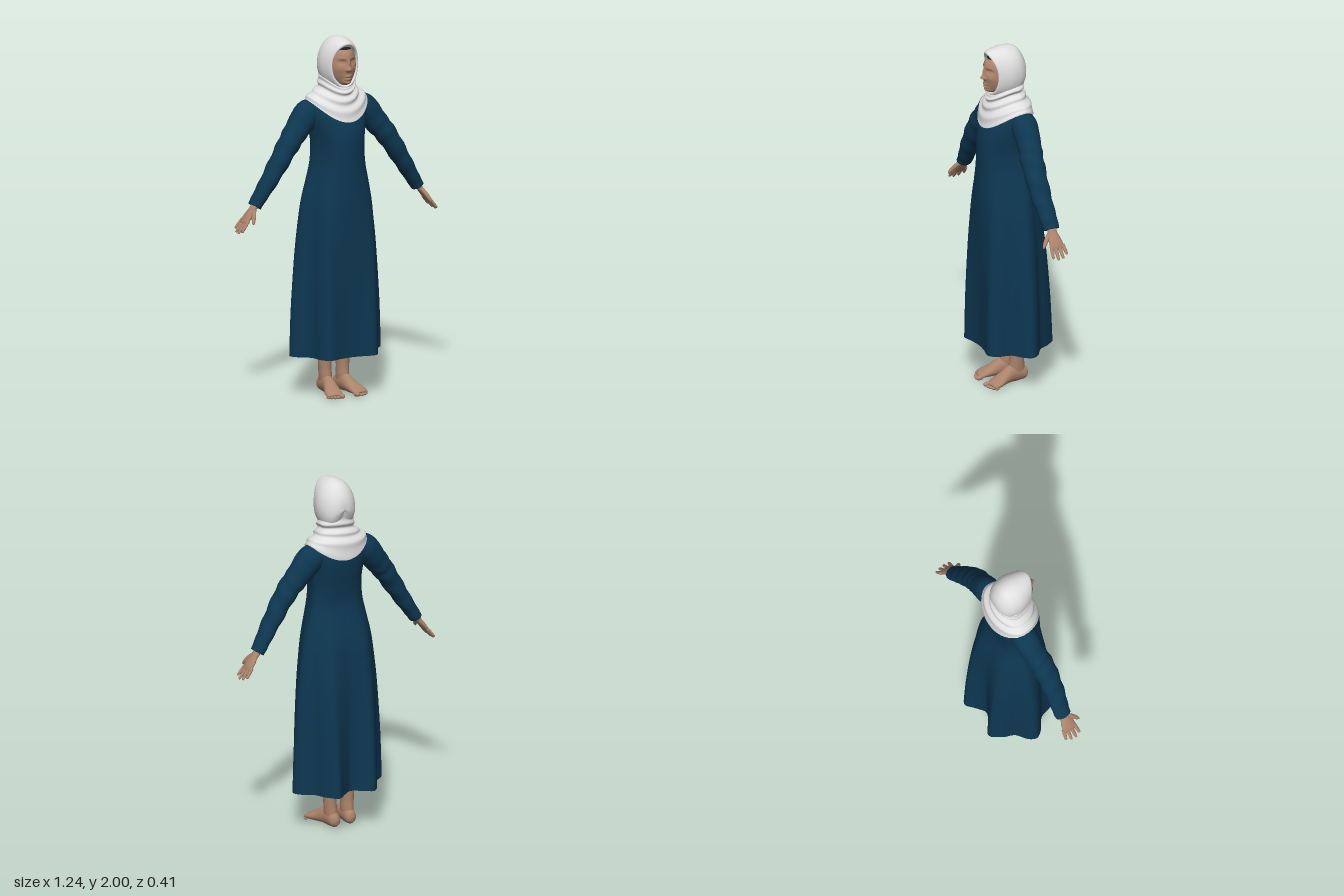
import * as THREE from 'three';

const V = (x, y, z) => new THREE.Vector3(x, y, z);
const Y = V(0, 1, 0), Z = V(0, 0, 1), TAU = Math.PI * 2;
const paint = (name, color, side = THREE.FrontSide) => {
  const m = new THREE.MeshStandardMaterial({ color, side });
  m.name = name;
  return m;
};

// Smooth interpolation through rows of numbers, t from 0 to 1
function rowAt(rows, t) {
  const f = t * (rows.length - 1), i = Math.min(Math.floor(f), rows.length - 2), u = f - i;
  const r = k => rows[Math.max(0, Math.min(rows.length - 1, i + k))];
  return rows[0].map((_, c) => {
    const [a, b, d, e] = [r(-1)[c], r(0)[c], r(1)[c], r(2)[c]];
    return b + 0.5 * u * (d - a + u * (2 * a - 5 * b + 4 * d - e + u * (3 * (b - d) + e - a)));
  });
}

// Skin over closed rings of points, with optional end caps; faces always point outward
function loft(rings, capStart = true, capEnd = true) {
  const n = rings[0].length, pts = rings.flat(), idx = [];
  for (let i = 0; i < rings.length - 1; i++) {
    for (let j = 0; j < n; j++) {
      const k = (j + 1) % n, a = i * n, b = a + n;
      idx.push(a + j, b + j, a + k, a + k, b + j, b + k);
    }
  }
  const cap = (start, flip) => {
    const c = V(0, 0, 0), id = pts.length;
    for (let j = 0; j < n; j++) c.add(pts[start + j]);
    pts.push(c.divideScalar(n));
    for (let j = 0; j < n; j++) {
      const a = start + j, b = start + (j + 1) % n;
      flip ? idx.push(id, b, a) : idx.push(id, a, b);
    }
  };
  if (capStart) cap(0, false);
  if (capEnd) cap((rings.length - 1) * n, true);
  const mid = new THREE.Box3().setFromPoints(pts).getCenter(V(0, 0, 0));
  const q = pts.map(p => p.clone().sub(mid));
  let volume = 0;
  for (let i = 0; i < idx.length; i += 3) volume += q[idx[i]].dot(q[idx[i + 1]].clone().cross(q[idx[i + 2]]));
  if (volume < 0) idx.reverse();
  const g = new THREE.BufferGeometry().setFromPoints(pts);
  g.setIndex(idx);
  g.computeVertexNormals();
  return g;
}

// Elliptical limb from rows [x, y, z, halfAcross, halfAlongUp]; s mirrors it in x
function limb(rows, up, s = 1, steps = 24, n = 24, ripple = null) {
  const at = t => { const r = rowAt(rows, t); r[0] *= s; return r; };
  const rings = [];
  for (let i = 0; i <= steps; i++) {
    const t = i / steps, r = at(t), a = at(Math.max(0, t - 0.01)), b = at(Math.min(1, t + 0.01));
    const dir = V(b[0] - a[0], b[1] - a[1], b[2] - a[2]).normalize();
    const u = up.clone().cross(dir).normalize(), v = dir.clone().cross(u);
    rings.push(Array.from({ length: n }, (_, j) => {
      const w = j / n * TAU, k = ripple ? ripple(t, w) : 0;
      return V(r[0], r[1], r[2]).addScaledVector(u, (r[3] + k) * Math.cos(w)).addScaledVector(v, (r[4] + k) * Math.sin(w));
    }));
  }
  return loft(rings);
}

// Long dress: round at the shoulders, falling into six folds at the hem
function dressGeometry() {
  const hem = [[0, .9], [.25, .94], [.5, 1], [.63, .8], [.7, .45], [.92, .2], [1, 0],
    [.92, -.2], [.7, -.42], [.6, -.7], [.4, -1], [.2, -.82], [0, -.66]];
  const angles = [90, 70, 52, 38, 25, 11, 0, -11, -25, -38, -55, -73, -90];
  // y, half width, front, back, fold strength
  const rows = [[.23, .28, .205, .205, 1], [.5, .27, .205, .195, .85], [.8, .247, .203, .175, .6],
    [1, .222, .2, .15, .4], [1.1, .205, .197, .13, .3], [1.2, .18, .193, .1, .2], [1.3, .157, .19, .077, .15],
    [1.4, .15, .19, .08, .15], [1.48, .16, .182, .09, .12], [1.56, .178, .155, .095, .05],
    [1.62, .172, .125, .09, 0], [1.67, .125, .1, .075, 0], [1.7, .06, .07, .06, 0]];
  const rings = [];
  for (let i = 0; i <= 60; i++) {
    const [y, w, f, b, k] = rowAt(rows, i / 60);
    const half = hem.map(([hx, hz], j) => {
      const a = angles[j] * Math.PI / 180;
      const x = THREE.MathUtils.lerp(Math.cos(a), hx, k), z = THREE.MathUtils.lerp(Math.sin(a), hz, k);
      return V(x * w, y, z * (z > 0 ? f : b));
    });
    const other = half.slice(1, -1).reverse().map(p => V(-p.x, p.y, p.z));
    rings.push(new THREE.CatmullRomCurve3([...half, ...other], true).getPoints(96).slice(0, 96));
  }
  return loft(rings, false, true);
}

// Scarf hood: ovals running from the face opening to the back of the head
function hoodGeometry() {
  // z at top, side and bottom, half width, top y, bottom y
  const rows = [[.125, .085, .1, .07, 1.955, 1.745], [.143, .108, .125, .077, 1.968, 1.735],
    [.138, .1, .12, .088, 1.982, 1.72], [.09, .06, .09, .102, 1.995, 1.71], [.03, .02, .05, .107, 2, 1.7],
    [-.03, -.025, 0, .098, 1.985, 1.7], [-.065, -.06, -.03, .075, 1.94, 1.73],
    [-.08, -.08, -.06, .04, 1.9, 1.79], [-.084, -.084, -.075, .008, 1.86, 1.84]];
  const rings = [];
  for (let i = 0; i <= 40; i++) {
    const [zt, zs, zb, w, top, bottom] = rowAt(rows, i / 40);
    rings.push(Array.from({ length: 64 }, (_, j) => {
      const a = j / 64 * TAU, s = Math.sin(a);
      return V(w * Math.cos(a), (top + bottom) / 2 + (top - bottom) / 2 * s, zs + ((s > 0 ? zt : zb) - zs) * s * s);
    }));
  }
  return loft(rings, false, true);
}

// Scarf wrap: draped rings round the neck, dipping to a point at front and back
function wrapGeometry() {
  // y at side, front and back, half width, front z, back z
  const rows = [[1.8, 1.735, 1.82, .083, .116, .062], [1.77, 1.715, 1.78, .1, .135, .068],
    [1.735, 1.69, 1.74, .1, .138, .066], [1.7, 1.65, 1.7, .125, .148, .085],
    [1.675, 1.6, 1.65, .165, .163, .106], [1.652, 1.542, 1.57, .178, .174, .113]];
  const rings = [];
  for (let i = 0; i <= 48; i++) {
    const t = i / 48, [ys, yf, yb, w, f, b] = rowAt(rows, t);
    rings.push(Array.from({ length: 80 }, (_, j) => {
      const a = j / 80 * TAU, s = Math.sin(a), fold = 0.006 * Math.sin(t * 26 + 1.6 * Math.cos(a + .5)) * Math.sin(t * Math.PI);
      return V((w + fold) * Math.cos(a), ys + ((s > 0 ? yf : yb) - ys) * s * s, ((s > 0 ? f : b) + fold) * s);
    }));
  }
  return loft(rings, false, false);
}

// Head: an ellipsoid with features raised and sunk by soft bumps
function headGeometry() {
  const g = new THREE.SphereGeometry(1, 96, 80).scale(.083, .125, .105).translate(0, 1.85, .05);
  const bumps = [ // x, y, spread x, spread y, depth
    [0, 1.92, .05, .03, .012], [0, 1.755, .035, .022, .032], [0, 1.79, .05, .03, .008],
    [0, 1.868, .009, .022, .013], [0, 1.836, .012, .012, .024], [.012, 1.831, .007, .007, .008],
    [.033, 1.874, .018, .012, -.013], [.033, 1.873, .01, .006, .006], [.03, 1.895, .02, .006, .004],
    [.043, 1.835, .02, .02, .005], [0, 1.794, .02, .005, .008], [0, 1.78, .016, .005, .008],
    [0, 1.787, .022, .0025, -.004], [0, 1.767, .02, .005, -.006]];
  const p = g.attributes.position;
  for (let i = 0; i < p.count; i++) {
    const x = Math.abs(p.getX(i)), y = p.getY(i), z = p.getZ(i), front = THREE.MathUtils.smoothstep(z, .06, .11);
    let d = 0;
    for (const [bx, by, sx, sy, h] of bumps) d += h * Math.exp(-(((x - bx) / sx) ** 2) - ((y - by) / sy) ** 2);
    p.setZ(i, z + d * front);
  }
  g.computeVertexNormals();
  return g;
}

export function createModel() {
  const model = new THREE.Group();
  model.name = 'womanInLongDress';
  const navy = paint('navy cloth', 0x0d3751, THREE.DoubleSide);
  const white = paint('white cloth', 0xe0e0e1, THREE.DoubleSide);
  const skin = paint('skin', 0xab836b);
  const dark = paint('dark undercap', 0x1a1c20);
  const add = (name, geometry, material, parent = model) => {
    const m = new THREE.Mesh(geometry, material);
    m.name = name;
    parent.add(m);
    return m;
  };

  add('dress', dressGeometry(), navy);
  add('scarfHood', hoodGeometry(), white);
  add('scarfWrap', wrapGeometry(), white);
  add('head', headGeometry(), skin);
  add('undercap', new THREE.SphereGeometry(1, 48, 16, 0, TAU, 0, .83).scale(.086, .133, .112).translate(0, 1.85, .05), dark);

  for (const s of [1, -1]) {
    const side = s > 0 ? 'left' : 'right';

    // Sleeve with light creases at the elbow
    const crease = (t, w) => .003 * Math.sin(t * 55 + 2 * Math.sin(w)) * Math.exp(-(((t - .55) / .25) ** 2));
    add(side + 'Sleeve', limb([[.11, 1.605, 0, .05, .06], [.17, 1.575, 0, .078, .072], [.245, 1.49, .008, .067, .066],
      [.315, 1.4, .02, .058, .064], [.41, 1.25, .02, .047, .056], [.487, 1.128, .01, .037, .047],
      [.506, 1.098, .01, .035, .045]], Z, s, 48, 32, crease), navy);

    // Hand with four fingers and a thumb
    const hand = new THREE.Group();
    hand.name = side + 'Hand';
    model.add(hand);
    add('palm', limb([[.49, 1.12, .01, .02, .028], [.52, 1.082, .01, .016, .027], [.545, 1.05, .01, .015, .038],
      [.568, 1.018, .008, .012, .04], [.577, 1.005, .008, .005, .034]], Z, s), skin, hand);
    [[.04, .072], [.018, .086], [-.005, .081], [-.027, .063]].forEach(([z, len]) => {
      const rows = [[0, .011], [.4, .0105], [.75, .009], [.95, .007], [1, .003]].map(([t, r]) =>
        [.562 + .62 * len * t, 1.025 - .78 * len * t, z + (z - .007) * .3 * t, r * .85, r]);
      add('finger', limb(rows, Z, s, 12, 12), skin, hand);
    });
    add('thumb', limb([[.52, 1.08, .028, .012, .015], [.535, 1.055, .055, .012, .013], [.547, 1.03, .074, .01, .01],
      [.553, 1.015, .083, .004, .004]], Z, s, 12, 12), skin, hand);

    // Leg and bare foot, toes turned slightly out
    add(side + 'Leg', limb([[.06, .95, 0, .055, .07], [.055, .5, -.02, .05, .055], [.055, .3, -.015, .041, .05],
      [.055, .15, -.015, .035, .042], [.053, .09, -.015, .034, .046], [.053, .045, -.02, .03, .045]], Z, s), skin);
    const foot = new THREE.Group();
    foot.name = side + 'Foot';
    model.add(foot);
    add('sole', limb([[.05, .035, -.08, .012, .015], [.05, .038, -.065, .03, .034], [.052, .049, -.03, .033, .048],
      [.056, .052, .02, .034, .05], [.064, .038, .07, .04, .036], [.075, .026, .115, .047, .024],
      [.08, .018, .145, .045, .015], [.082, .014, .155, .038, .008]], Y, s, 32), skin, foot);
    [[.046, .16, .015], [.069, .162, .01], [.087, .156, .0095], [.103, .147, .009], [.117, .136, .0085]].forEach(([x, z, r]) => {
      const toe = add('toe', new THREE.SphereGeometry(r, 14, 10).scale(1, .9, 1.7), skin, foot);
      toe.position.set(s * x, r * .9, z);
    });
  }
  return model;
}
